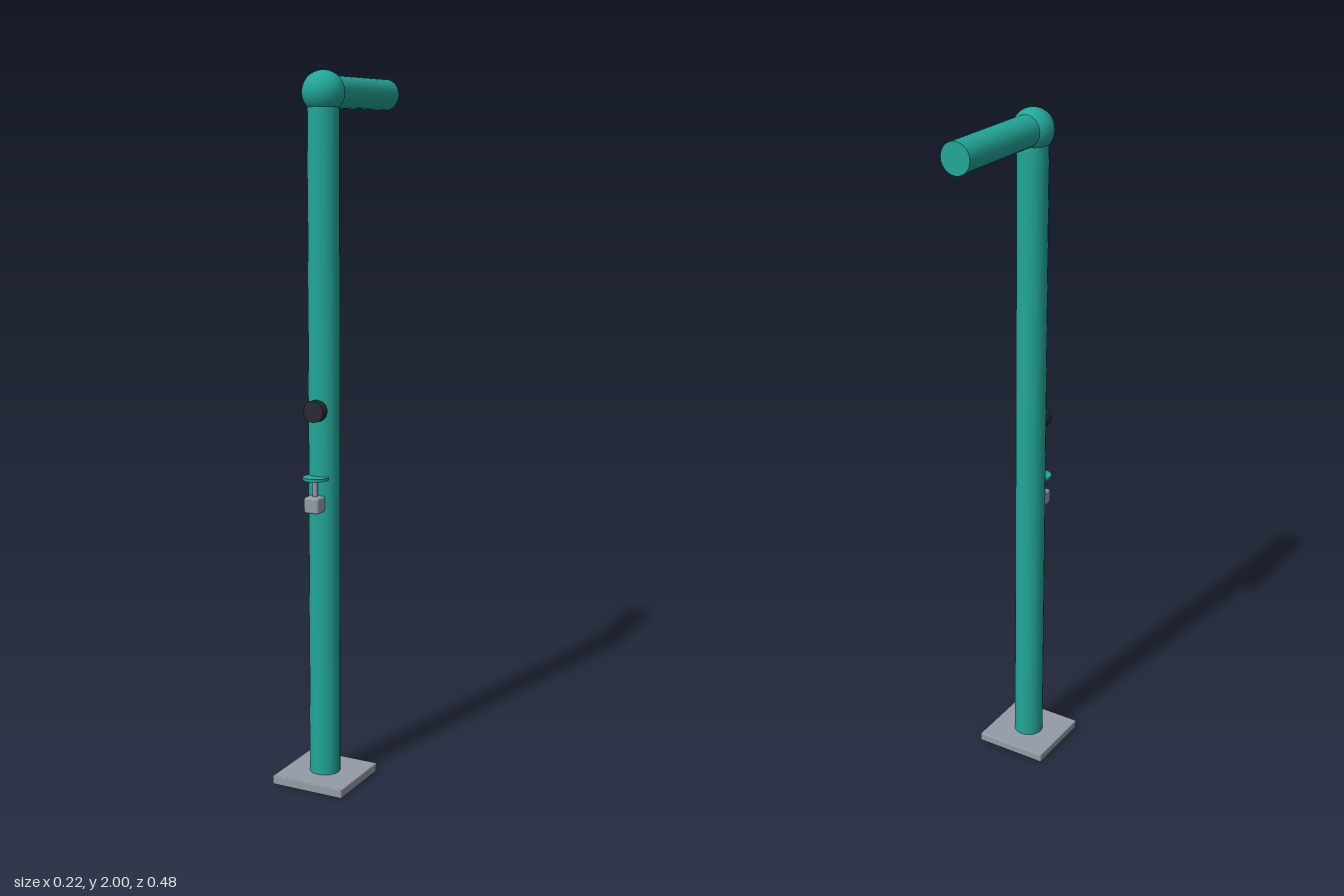
import * as THREE from 'three';
import { RoundedBoxGeometry } from 'three/addons/geometries/RoundedBoxGeometry.js';

const material = (name, color) => {
  const m = new THREE.MeshStandardMaterial({ color });
  m.name = name;
  return m;
};

export function createModel() {
  const teal = material('teal paint', 0x22a699);
  const grey = material('grey metal', 0x959ca6);
  const dark = material('dark rubber', 0x282b32);

  const model = new THREE.Group();
  model.name = 'outdoorShower';
  const add = (name, geometry, mat, x, y, z, rotX = 0) => {
    const mesh = new THREE.Mesh(geometry, mat);
    mesh.name = name;
    mesh.position.set(x, y, z);
    mesh.rotation.x = rotX;
    model.add(mesh);
  };
  const rod = (radius, length, sides = 24) =>
    new THREE.CylinderGeometry(radius, radius, length, sides);
  const postZ = 0.13;

  // Floor plate, post, elbow ball and overhead arm
  add('basePlate', new RoundedBoxGeometry(0.222, 0.026, 0.222, 2, 0.003), grey, 0, 0.013, postZ);
  add('post', rod(0.044, 1.92), teal, 0, 0.98, postZ);
  add('elbow', new THREE.SphereGeometry(0.059, 20, 14), teal, 0, 1.941, postZ);
  add('arm', rod(0.044, 0.372), teal, 0, 1.943, -0.056, Math.PI / 2);

  // Push button on the front of the post
  add('pushButton', rod(0.031, 0.026, 12), dark, 0, 1.085, 0.181, Math.PI / 2);

  // Tap: body, stem and flat handle
  add('tapBody', new RoundedBoxGeometry(0.046, 0.046, 0.046, 2, 0.007), grey, 0, 0.824, 0.187);
  add('tapStem', rod(0.008, 0.055, 10), grey, 0, 0.868, 0.183);
  add('tapHandle', rod(0.036, 0.008, 20), teal, 0, 0.897, 0.181);

  return model;
}
